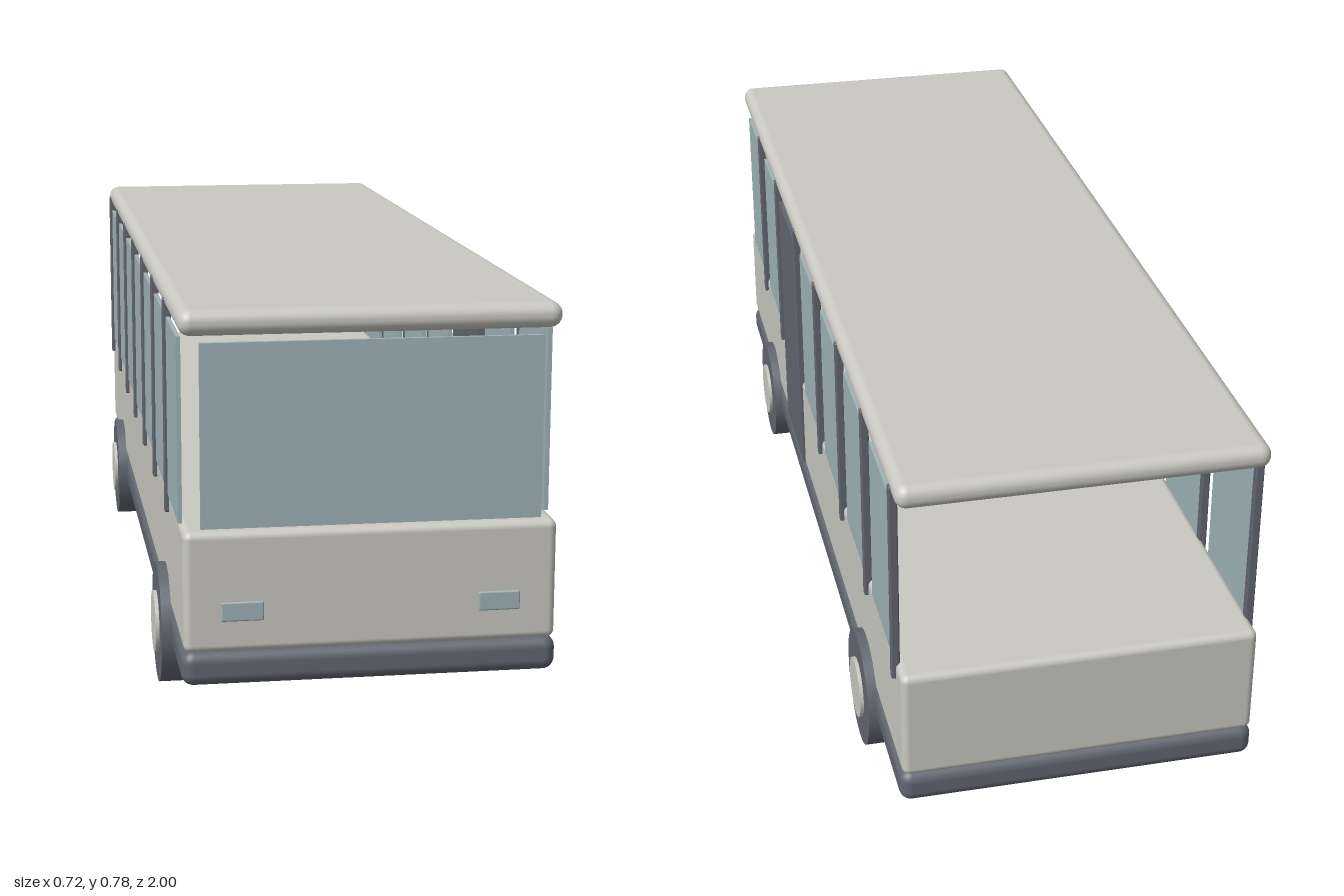
import * as THREE from 'three';
import { RoundedBoxGeometry } from 'three/addons/geometries/RoundedBoxGeometry.js';

function makeMaterial(name, color) {
  const m = new THREE.MeshStandardMaterial({ color });
  m.name = name;
  return m;
}

export function createModel() {
  const bus = new THREE.Group();
  bus.name = 'bus';
  const paint = makeMaterial('pale grey paint', 0xc9c8c2);
  const dark = makeMaterial('dark grey', 0x62666f);
  const glass = makeMaterial('blue grey glass', 0x9fb3b6);

  // Box given by its size and centre; a radius rounds its edges
  function box(name, material, [w, h, d], [x, y, z], radius = 0) {
    const geometry = radius
      ? new RoundedBoxGeometry(w, h, d, 4, radius)
      : new THREE.BoxGeometry(w, h, d);
    const mesh = new THREE.Mesh(geometry, material);
    mesh.name = name;
    mesh.position.set(x, y, z);
    bus.add(mesh);
    return mesh;
  }

  // Shell: skirt, lower body and roof slab
  box('skirt', dark, [0.674, 0.064, 1.994], [0, 0.139, 0], 0.022);
  box('lowerBody', paint, [0.666, 0.219, 1.994], [0, 0.279, 0], 0.014);
  box('roof', paint, [0.674, 0.046, 1.99], [0, 0.754, 0], 0.022);

  // Windscreen and headlights
  box('windscreen', glass, [0.604, 0.327, 0.008], [0, 0.5585, 0.994]);
  for (const side of [-1, 1]) {
    box('headlight', glass, [0.075, 0.035, 0.009], [side * 0.2295, 0.2445, 0.9955], 0.003);
  }

  // Seven bays per side, each a window and a post; the third bay on +x is the door
  const pitch = 0.274;
  for (const side of [-1, 1]) {
    for (let i = 0; i < 7; i++) {
      const z = 0.817 - i * pitch;
      if (side === 1 && i === 2) {
        box('door', dark, [0.012, 0.542, 0.24], [0.332, 0.451, z]);
      } else {
        box('sideWindow', glass, [0.008, 0.334, 0.21], [side * 0.331, 0.554, z]);
      }
      box('post', dark, [0.016, 0.402, 0.016], [side * 0.333, 0.554, z - 0.11], 0.003);
    }
  }

  // Wheels with hub discs on the outer face
  const tyre = new THREE.CylinderGeometry(0.115, 0.115, 0.057, 32).rotateZ(Math.PI / 2);
  const hub = new THREE.CylinderGeometry(0.06, 0.06, 0.02, 32).rotateZ(Math.PI / 2);
  for (const side of [-1, 1]) {
    for (const z of [0.633, -0.635]) {
      const wheel = new THREE.Group();
      wheel.name = 'wheel';
      const tyreMesh = new THREE.Mesh(tyre, dark);
      tyreMesh.name = 'tyre';
      const hubMesh = new THREE.Mesh(hub, paint);
      hubMesh.name = 'hub';
      hubMesh.position.x = side * 0.0255;
      wheel.add(tyreMesh, hubMesh);
      wheel.position.set(side * 0.3235, 0.116, z);
      bus.add(wheel);
    }
  }

  // Stand the tyres exactly on the ground
  bus.position.y = -0.001;
  return bus;
}
